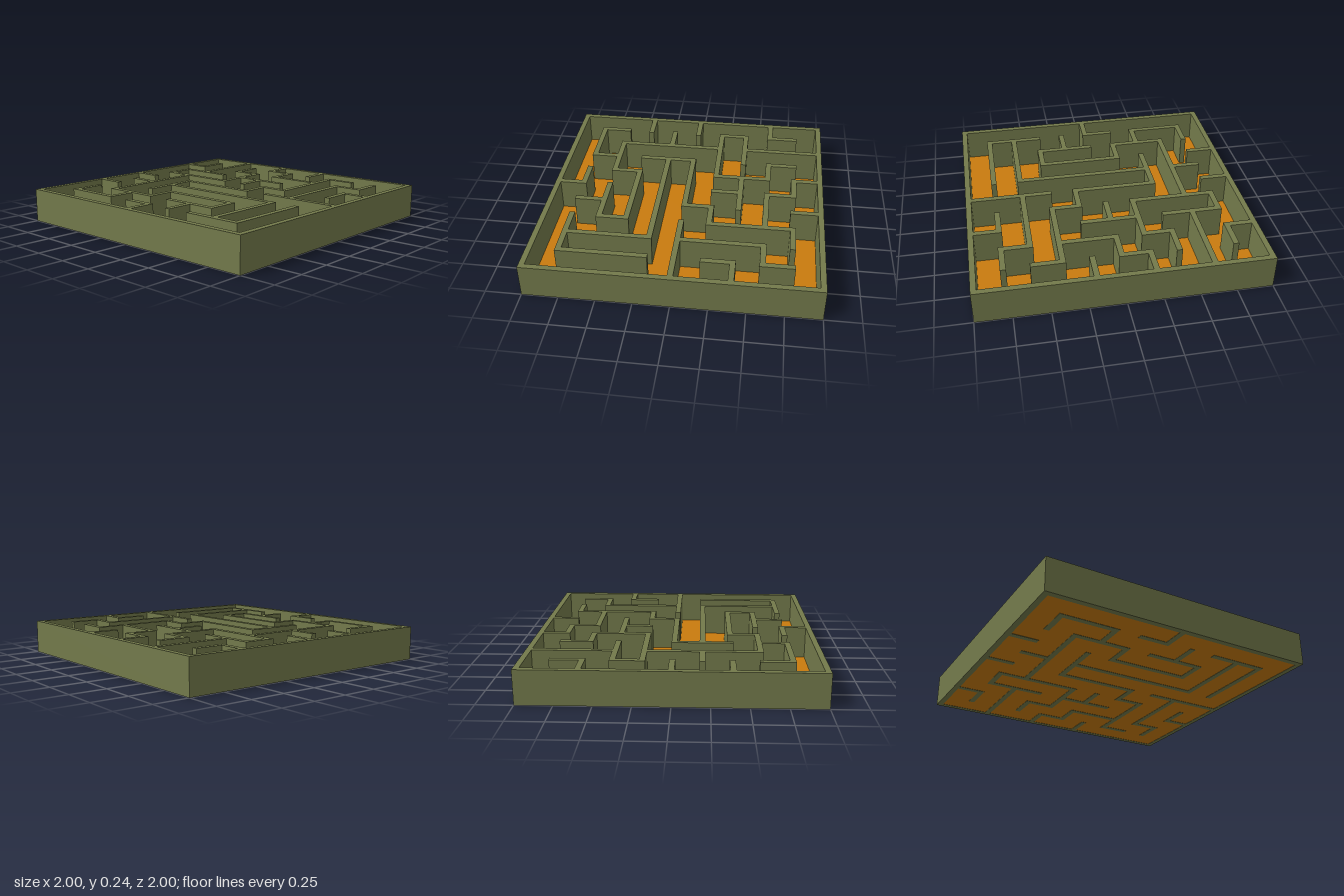
import * as THREE from 'three';

const PITCH = 0.196, THICK = 0.04, HEIGHT = 0.24, INNER = 0.96;

// Wall runs as [column, row] grid points; columns run along +x, rows along +z
const RUNS = [
  [[2, 0], [2, 3]],
  [[3, 3], [1, 3], [1, 4], [4, 4], [4, 2], [3, 2], [3, 1]],
  [[0, 2], [1, 2], [1, 1]],
  [[4, 0], [4, 1], [5, 1], [5, 2], [7, 2]],
  [[6, 0], [6, 1]],
  [[8, 1], [7, 1], [7, 4], [6, 4], [6, 5], [3, 5], [3, 7]],
  [[4, 3], [6, 3]],
  [[5, 3], [5, 4]],
  [[9, 1], [9, 2], [8, 2], [8, 5]],
  [[7, 5], [10, 5]],
  [[10, 3], [9, 3], [9, 4]],
  [[0, 5], [1, 5]],
  [[0, 7], [1, 7]],
  [[2, 4], [2, 8], [4, 8], [4, 7], [7, 7], [7, 8], [5, 8]],
  [[1, 6], [2, 6]],
  [[3, 6], [8, 6], [8, 9]],
  [[9, 6], [9, 9], [7, 9]],
  [[6, 8], [6, 9]],
  [[3, 8], [3, 9], [1, 9], [1, 8]],
  [[4, 9], [5, 9], [5, 10]],
];

function square(Type, r) {
  return new Type([[-r, -r], [r, -r], [r, r], [-r, r]].map(([x, y]) => new THREE.Vector2(x, y)));
}

// Extent of a wall along one axis, half a thickness past its end points, kept inside the frame
function span(a, b) {
  const at = i => -0.98 + i * PITCH;
  const lo = Math.max(-INNER, at(Math.min(a, b)) - THICK / 2);
  const hi = Math.min(INNER, at(Math.max(a, b)) + THICK / 2);
  return { size: hi - lo, mid: (lo + hi) / 2 };
}

export function createModel() {
  const model = new THREE.Group();
  model.name = 'maze';
  const wallMaterial = new THREE.MeshStandardMaterial({ color: 0x737a4b });
  const floorMaterial = new THREE.MeshStandardMaterial({ color: 0xc97b0e });

  // Square outer frame
  const frameShape = square(THREE.Shape, 1);
  frameShape.holes.push(square(THREE.Path, INNER));
  const frameGeometry = new THREE.ExtrudeGeometry(frameShape, { depth: HEIGHT, bevelEnabled: false });
  frameGeometry.rotateX(-Math.PI / 2);
  const frame = new THREE.Mesh(frameGeometry, wallMaterial);
  frame.name = 'outerWall';
  model.add(frame);

  // Thin floor panel, just above the underside of the walls
  const floor = new THREE.Mesh(new THREE.BoxGeometry(2 * INNER, 0.008, 2 * INNER), floorMaterial);
  floor.name = 'floor';
  floor.position.y = 0.006;
  model.add(floor);

  // Inner walls, one group per run
  const walls = new THREE.Group();
  walls.name = 'innerWalls';
  RUNS.forEach((run, r) => {
    const group = new THREE.Group();
    group.name = `wallRun${r + 1}`;
    for (let i = 1; i < run.length; i++) {
      const x = span(run[i - 1][0], run[i][0]);
      const z = span(run[i - 1][1], run[i][1]);
      const wall = new THREE.Mesh(new THREE.BoxGeometry(x.size, HEIGHT, z.size), wallMaterial);
      wall.name = 'wall';
      wall.position.set(x.mid, HEIGHT / 2, z.mid);
      group.add(wall);
    }
    walls.add(group);
  });
  model.add(walls);
  return model;
}
